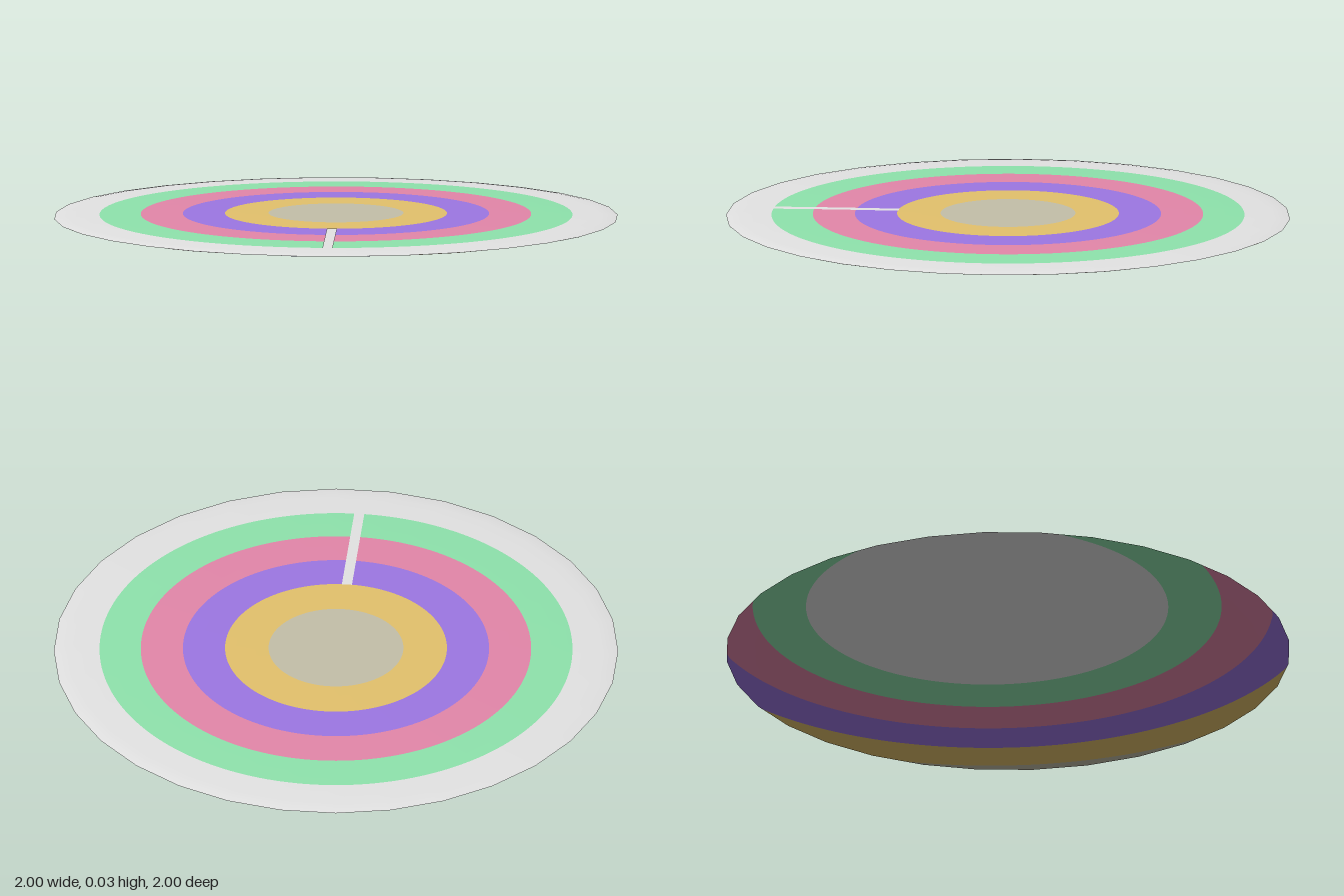
import * as THREE from 'three';

const SIDES = 32, STEP = (Math.PI * 2) / SIDES, SUB = 6, ROWS = 6, HALF = 0.015;

const paint = (name, color) => {
  const m = new THREE.MeshStandardMaterial({ color });
  m.name = name;
  return m;
};

// Height of the flat lens above the ground; the rim is a 32-sided polygon.
function lensHeight(x, z, side) {
  const a = Math.atan2(z, x);
  const d = Math.hypot(x, z) * Math.cos(a - Math.round(a / STEP) * STEP);
  return HALF + side * HALF * Math.sqrt(Math.max(0, 1 - d * d));
}

// Points along the polygonal rim.
function rimPoints() {
  const corner = (i) => new THREE.Vector2(1, 0)
    .multiplyScalar(1 / Math.cos(STEP / 2))
    .rotateAround(new THREE.Vector2(), (i + 0.5) * STEP);
  const pts = [];
  for (let i = 0; i < SIDES; i++) {
    for (let s = 0; s < SUB; s++) pts.push(corner(i).lerp(corner(i + 1), s / SUB));
  }
  return pts;
}

// A ring r0..r1 around (cx, 0) that follows the lens and stops at its rim.
function bandGeometry(cx, r0, r1, side) {
  const pos = [], idx = [], rim = rimPoints(), n = rim.length, w = ROWS + 1;
  const reach = rim.map((p) => Math.hypot(p.x - cx, p.y));
  rim.forEach((p, i) => {
    const inner = Math.min(r0, reach[i]), outer = Math.min(r1, reach[i]);
    for (let j = 0; j <= ROWS; j++) {
      const k = (inner + (outer - inner) * (j / ROWS)) / reach[i];
      const x = cx + (p.x - cx) * k, z = p.y * k;
      pos.push(x, lensHeight(x, z, side), z);
    }
  });
  for (let i = 0; i < n; i++) {
    const i2 = (i + 1) % n;
    if (r0 >= reach[i] && r0 >= reach[i2]) continue;
    for (let j = 0; j < ROWS; j++) {
      const a = i * w + j, b = a + 1, c = i2 * w + j, d = c + 1;
      if (side > 0) idx.push(a, c, b, b, c, d);
      else idx.push(a, b, c, b, d, c);
    }
  }
  const g = new THREE.BufferGeometry();
  g.setAttribute('position', new THREE.Float32BufferAttribute(pos, 3));
  g.setIndex(idx);
  g.computeVertexNormals();
  return g;
}

export function createModel() {
  const group = new THREE.Group();
  group.name = 'disc';
  const grey = paint('light grey', 0xe4e4e4);
  const green = paint('mint green', 0x8fe4ad);
  const pink = paint('rose pink', 0xe487aa);
  const purple = paint('violet', 0x9d77e4);
  const gold = paint('gold', 0xe4c26c);
  const stone = paint('stone', 0xc4c0a9);

  const add = (name, geometry, material) => {
    const mesh = new THREE.Mesh(geometry, material);
    mesh.name = name;
    group.add(mesh);
  };
  const addBands = (prefix, cx, radii, colours, side) => colours.forEach((m, i) =>
    add(`${prefix} ${m.name} band`, bandGeometry(cx, radii[i], radii[i + 1], side), m));

  // Upper face: concentric bands
  addBands('top', 0, [0, 0.24, 0.395, 0.545, 0.695, 0.842, 2],
    [stone, gold, purple, pink, green, grey], 1);

  // Lower face: bands centred towards one side, colours reversed
  addBands('bottom', -0.4, [0, 0.645, 0.835, 1.02, 1.19, 1.35, 3],
    [grey, green, pink, purple, gold, stone], -1);

  // Pale stripe crossing the three outer coloured bands
  const stripe = new THREE.PlaneGeometry(0.036, 0.455, 1, 16);
  stripe.rotateX(-Math.PI / 2).translate(0, 0, 0.62);
  const p = stripe.attributes.position;
  for (let i = 0; i < p.count; i++) {
    p.setY(i, lensHeight(p.getX(i), p.getZ(i), 1) + 0.001);
  }
  stripe.computeVertexNormals();
  add('front stripe', stripe, grey);

  return group;
}
